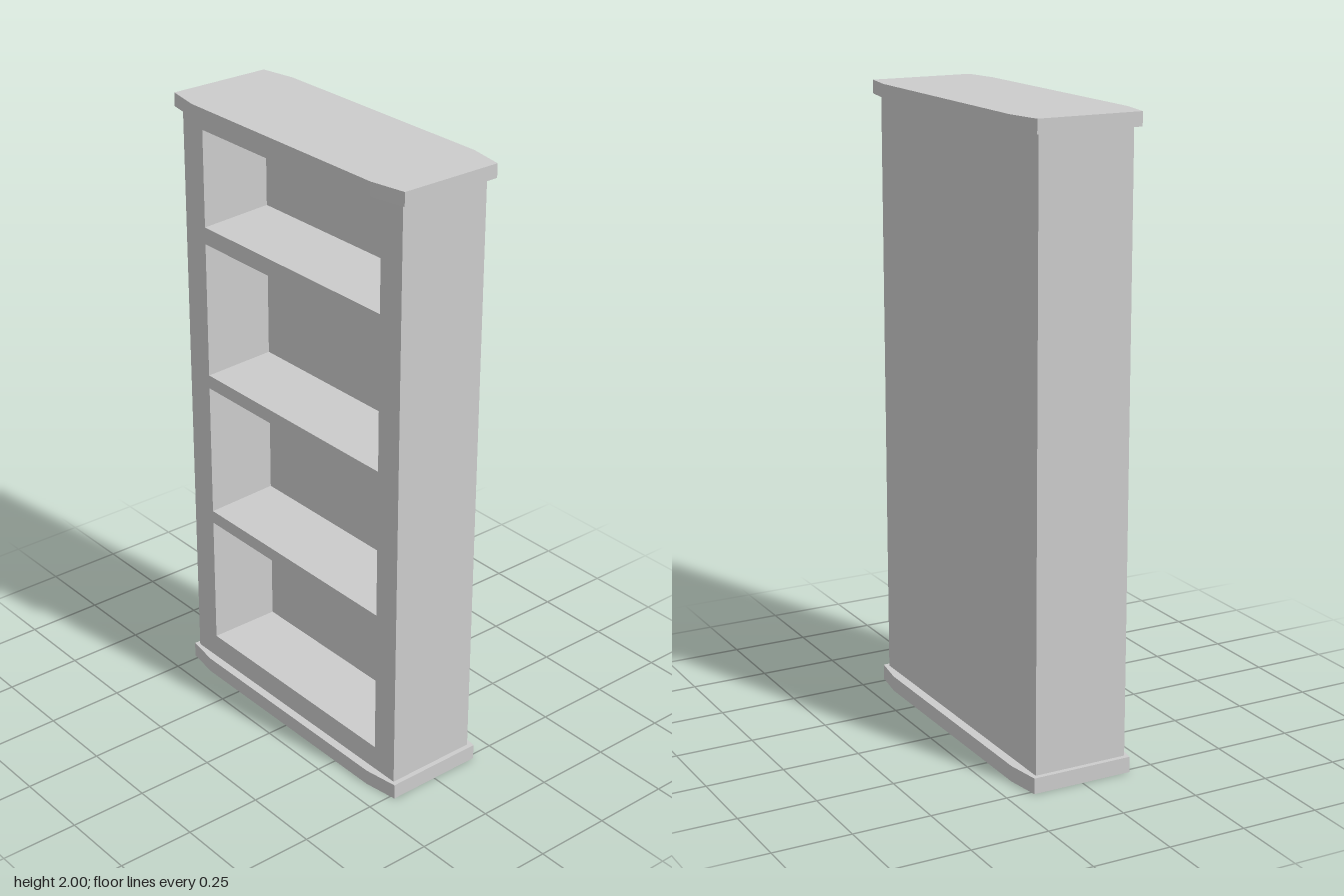
import * as THREE from 'three';

const material = new THREE.MeshStandardMaterial({ color: 0xcccccc, flatShading: true });

const BODY = { x: 0.5, bottom: 0.05, top: 1.957, front: 0.155, recess: -0.083, back: -0.152 };
const OPEN_LEFT = -0.405, OPEN_RIGHT = 0.41;

// Compartments: floor and ceiling heights at the front and at the back of the recess
const COMPARTMENTS = [
  { floor: [0.13, 0.13], ceiling: [0.567, 0.559] },
  { floor: [0.61, 0.62], ceiling: [1.055, 1.051] },
  { floor: [1.1, 1.11], ceiling: [1.545, 1.531] },
  { floor: [1.6, 1.613], ceiling: [1.912, 1.912] },
];

function addMesh(group, name, geometry) {
  const mesh = new THREE.Mesh(geometry, material);
  mesh.name = name;
  group.add(mesh);
  return mesh;
}

function rectangle(Type, x0, y0, x1, y1) {
  return new Type([[x0, y0], [x1, y0], [x1, y1], [x0, y1]].map(([x, y]) => new THREE.Vector2(x, y)));
}

// Front casing pierced by the openings, whose shelf faces tilt slightly towards the back
function casingGeometry() {
  const shape = rectangle(THREE.Shape, -BODY.x, BODY.bottom, BODY.x, BODY.top);
  for (const { floor, ceiling } of COMPARTMENTS) {
    shape.holes.push(rectangle(THREE.Path, OPEN_LEFT, floor[0], OPEN_RIGHT, ceiling[0]));
  }
  const geometry = new THREE.ExtrudeGeometry(shape, {
    depth: BODY.front - BODY.recess, bevelEnabled: false,
  });
  const levels = COMPARTMENTS.flatMap((c) => [c.floor, c.ceiling]);
  const pos = geometry.attributes.position;
  for (let i = 0; i < pos.count; i++) {
    if (pos.getZ(i) > 0.001) continue;
    const level = levels.find(([front]) => Math.abs(front - pos.getY(i)) < 1e-4);
    if (level) pos.setY(i, level[1]);
  }
  geometry.translate(0, 0, BODY.recess);
  geometry.computeVertexNormals();
  return geometry;
}

// Horizontal slab whose long sides taper in towards both ends
function slabGeometry(halfWidth, halfDepth, endDepth, shoulder, y0, y1) {
  const outline = [
    [-halfWidth, -endDepth], [-shoulder, -halfDepth], [shoulder, -halfDepth], [halfWidth, -endDepth],
    [halfWidth, endDepth], [shoulder, halfDepth], [-shoulder, halfDepth], [-halfWidth, endDepth],
  ].map(([x, z]) => new THREE.Vector2(x, z));
  const geometry = new THREE.ExtrudeGeometry(new THREE.Shape(outline), {
    depth: y1 - y0, bevelEnabled: false,
  });
  return geometry.rotateX(-Math.PI / 2).translate(0, y0, 0);
}

export function createModel() {
  const group = new THREE.Group();
  group.name = 'bookcase';

  addMesh(group, 'shelfCasing', casingGeometry());

  const back = addMesh(group, 'backPanel', new THREE.BoxGeometry(
    BODY.x * 2, BODY.top - BODY.bottom, BODY.recess - BODY.back));
  back.position.set(0, (BODY.top + BODY.bottom) / 2, (BODY.recess + BODY.back) / 2);

  addMesh(group, 'topSlab', slabGeometry(0.522, 0.19, 0.169, 0.405, 1.957, 2));
  addMesh(group, 'baseSlab', slabGeometry(0.516, 0.182, 0.165, 0.405, 0, 0.05));

  return group;
}
